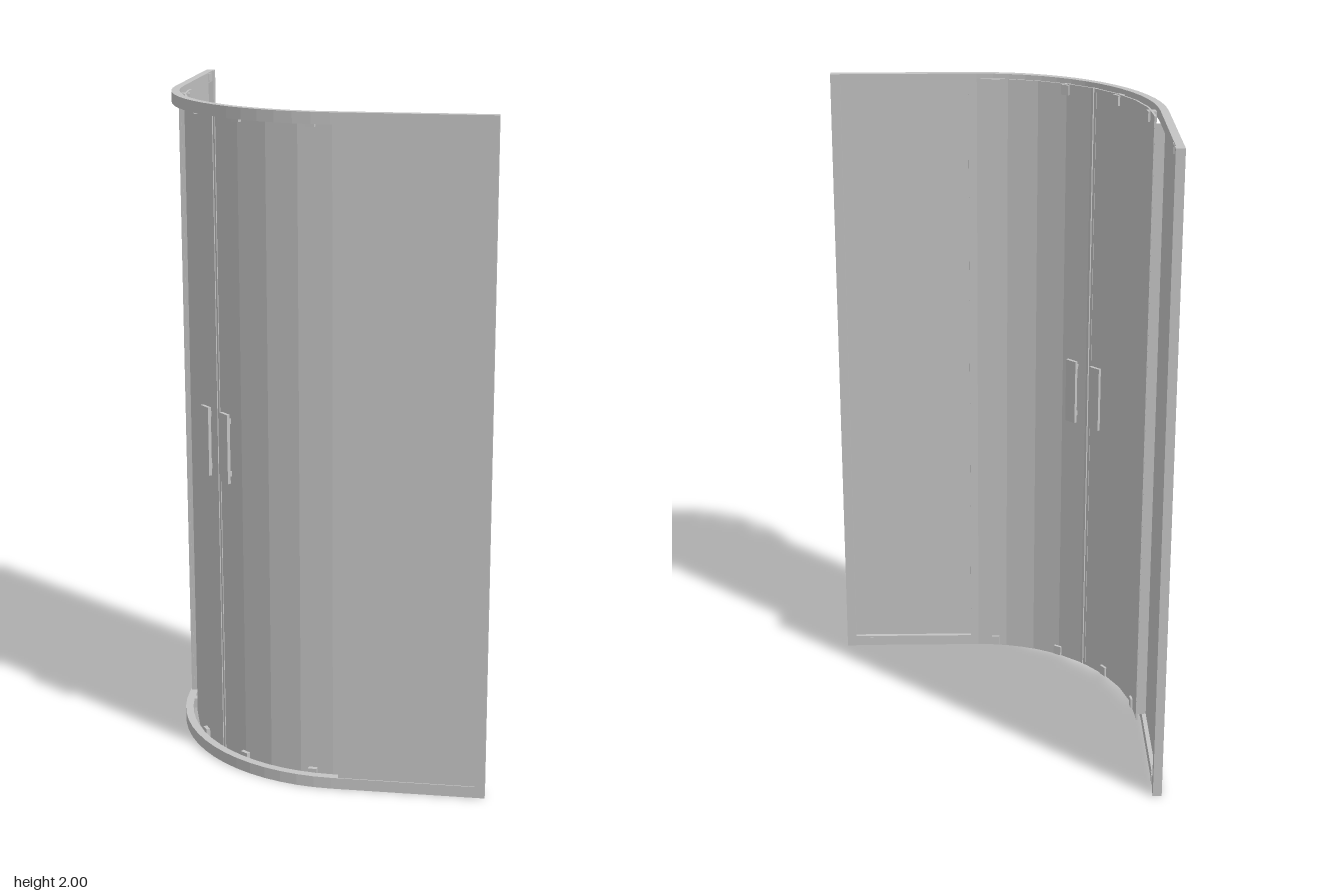
import * as THREE from 'three';

const C = 0.045; // centre of the curved corner is (C, -C) in x, z
const R = 0.505; // radius of the sliding doors
const rad = THREE.MathUtils.degToRad;

export function createModel() {
  const group = new THREE.Group();
  const grey = new THREE.MeshStandardMaterial({ color: 0xc4c4c4 });
  grey.name = 'satin grey';

  function add(name, geometry, parent = group) {
    const mesh = new THREE.Mesh(geometry, grey);
    mesh.name = name;
    parent.add(mesh);
    return mesh;
  }

  // box given by its limits on each axis
  function block(name, x0, x1, y0, y1, z0, z1, parent = group) {
    const mesh = add(name, new THREE.BoxGeometry(x1 - x0, y1 - y0, z1 - z0), parent);
    mesh.position.set((x0 + x1) / 2, (y0 + y1) / 2, (z0 + z1) / 2);
    return mesh;
  }

  // group placed on the curve: local z points outwards, local x runs along the curve
  function onCurve(name, degrees, radius, facing = degrees) {
    const g = new THREE.Group();
    const a = rad(degrees);
    g.name = name;
    g.position.set(C - radius * Math.cos(a), 0, -C + radius * Math.sin(a));
    g.rotation.y = rad(facing) - Math.PI / 2;
    group.add(g);
    return g;
  }

  // points along the corner, in shape coordinates (x, -z)
  function arc(radius, from, to, steps) {
    const points = [];
    for (let i = 0; i <= steps; i++) {
      const a = rad(from + (to - from) * i / steps);
      points.push(new THREE.Vector2(C - radius * Math.cos(a), C - radius * Math.sin(a)));
    }
    return points;
  }

  // upright extrusion of a band between an outer and an inner line
  function band(name, outer, inner, y0, y1) {
    const shape = new THREE.Shape([...outer, ...inner.reverse()]);
    const geometry = new THREE.ExtrudeGeometry(shape, { depth: y1 - y0, bevelEnabled: false });
    geometry.rotateX(-Math.PI / 2);
    geometry.translate(0, y0, 0);
    add(name, geometry);
  }

  // top and bottom rails: straight, quarter curve, straight
  function railLine(radius) {
    const e = radius - C;
    return [new THREE.Vector2(-e, 0.5), ...arc(radius, 0, 90, 16), new THREE.Vector2(0.5, -e)];
  }
  band('bottomRail', railLine(0.545), railLine(0.521), 0, 0.035);
  band('topRail', railLine(0.545), railLine(0.521), 1.967, 2);

  // sliding curved doors, each with a short straight end
  function doorLine(radius, first) {
    const e = radius - C;
    return first
      ? [new THREE.Vector2(-e, 0.07), ...arc(radius, 0, 44.3, 4)]
      : [...arc(radius, 45.7, 90, 4), new THREE.Vector2(0.07, -e)];
  }
  for (const first of [true, false]) {
    band(first ? 'rightDoor' : 'leftDoor',
      doorLine(R + 0.003, first), doorLine(R - 0.003, first), 0.012, 1.988);
  }

  // seals where the doors meet
  for (const a of [44.3, 45.7]) {
    const g = onCurve('doorSeal', a, R, 45);
    block('sealStrip', -0.004, 0.004, 0.012, 1.988, -0.005, 0.005, g);
  }

  // rollers carrying the doors
  for (const a of [6.8, 33, 57, 83.2]) {
    const g = onCurve('doorRollers', a, R);
    block('bottomRoller', -0.013, 0.013, 0.015, 0.046, -0.012, 0.014, g);
    block('topRoller', -0.013, 0.013, 1.955, 1.986, -0.012, 0.014, g);
  }

  // handles: plate on both faces of each door, joined by stems
  for (const a of [39.3, 50.7]) {
    const g = onCurve('doorHandle', a, 0.5, 45);
    for (const s of [-1, 1]) {
      block('handlePlate', -0.02, 0.02, 0.895, 1.105, s * 0.022 - 0.005, s * 0.022 + 0.005, g);
    }
    for (const y of [0.92, 1.08]) {
      block('handleStem', -0.008, 0.008, y - 0.008, y + 0.008, -0.02, 0.02, g);
    }
  }

  // fixed sides; the second is the first mirrored across the diagonal
  function side(name, mirrored) {
    const part = new THREE.Group();
    part.name = name;
    group.add(part);
    const put = (label, a0, a1, y0, y1, b0, b1) => mirrored
      ? block(label, -b1, -b0, y0, y1, -a1, -a0, part)
      : block(label, a0, a1, y0, y1, b0, b1, part);
    put('fixedPane', -0.497, -0.489, 0.03, 1.97, -0.48, -0.065);
    put('wallProfile', -0.5, -0.473, 0, 2, -0.5, -0.47);
    put('paneSeal', -0.495, -0.459, 0.035, 1.967, -0.071, -0.066);
    for (const y of [0.004, 1.97]) {
      put('railStop', -0.48, -0.474, y, y + 0.026, -0.44, -0.41);
    }
  }
  side('rightFixedSide', false);
  side('frontFixedSide', true);

  return group;
}
